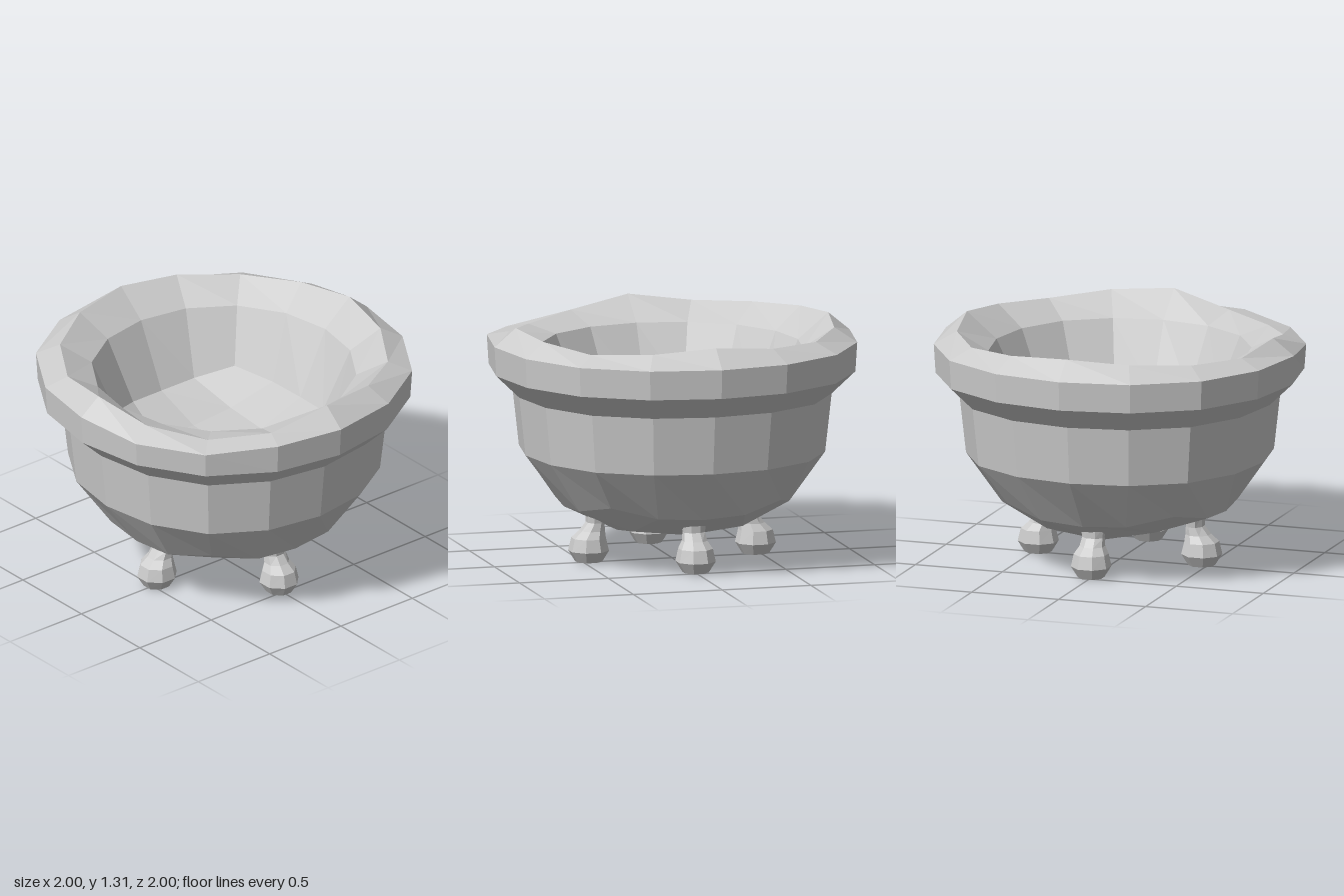
import * as THREE from 'three';

const material = new THREE.MeshStandardMaterial({ color: 0xcccccc, flatShading: true });
const SIDES = 16;

// Uneven heights of the rim crest, from the front round through the left side
const CREST = [1.30, 1.24, 1.21, 1.23, 1.31, 1.29, 1.26, 1.28, 1.31, 1.28, 1.27, 1.29, 1.31, 1.29, 1.27, 1.26];

// Heights round the square cap under the bowl: front, corner, left, corner, back ...
const UNDER_CAP = [0.23, 0.24, 0.17, 0.215, 0.18, 0.215, 0.175, 0.24];

// Bowl rings: radius, height, then widening and lift of the diagonal corners
const RINGS = [
  [0, 0.155, 1, 0], [0.31, 0.17, 1, 0], [0.61, 0.315, 1.11, 0.065], [0.825, 0.605, 1.03, 0],
  [0.86, 0.925, 1.03, 0], [0.99, 1.05, 1.025, 0], [1.0, 1.21, 1.025, 0], [0.88, 1.3, 1.015, 0],
  [0.71, 1.17, 1.015, 0], [0.535, 0.81, 1.1, 0.06], [0.26, 0.71, 1, 0], [0, 0.69, 1, 0],
];
const CAP = 1, LIP = 6, TOP = 7, FLOOR = 10;

function createBowl() {
  const geometry = new THREE.LatheGeometry(RINGS.map(([r, y]) => new THREE.Vector2(r, y)), SIDES);
  const pos = geometry.attributes.position;
  for (let s = 0; s <= SIDES; s++) {
    const k = s % SIDES;
    const diagonal = [0, 0.45, 1, 0.45][k % 4];
    RINGS.forEach(([r, y, widen, lift], j) => {
      const i = s * RINGS.length + j;
      const grow = 1 + (widen - 1) * diagonal;
      let height = y + lift * diagonal ** 2;
      if (j === TOP) height = CREST[k];
      // Lip sags beside the low part of the crest
      if (j === LIP && (k === 1 || k === 2)) height = 1.185;
      if (j === CAP || j === FLOOR) {
        // Caps are square grids: the three vertices nearest a corner meet there
        const corner = k % 4 !== 0;
        const x = Math.sin((k / SIDES) * Math.PI * 2), z = Math.cos((k / SIDES) * Math.PI * 2);
        const side = (v) => (Math.abs(v) < 0.1 ? 0 : Math.sign(v) * r);
        if (j === CAP) height = UNDER_CAP[corner ? 2 * Math.floor(k / 4) + 1 : k / 2];
        else if (corner) height += 0.02;
        pos.setXYZ(i, side(x), height, side(z));
      } else {
        pos.setXYZ(i, pos.getX(i) * grow, height, pos.getZ(i) * grow);
      }
    });
  }
  geometry.computeVertexNormals();
  const bowl = new THREE.Mesh(geometry, material);
  bowl.name = 'bowl';
  return bowl;
}

// Foot sections [height, outward offset, half width, half depth]
const FOOT = [
  [0, 0.47, 0, 0], [0.005, 0.47, 0.072, 0.075], [0.065, 0.47, 0.11, 0.112], [0.135, 0.47, 0.095, 0.095],
  [0.175, 0.45, 0.07, 0.07], [0.22, 0.433, 0.063, 0.05], [0.28, 0.435, 0.07, 0.05], [0.28, 0.435, 0, 0],
];

function createFootGeometry() {
  const n = 8;
  const positions = [], index = [];
  for (const [y, out, w, d] of FOOT) {
    for (let s = 0; s < n; s++) {
      const a = ((s + 0.5) / n) * Math.PI * 2;
      positions.push(Math.sin(a) * w, y, out + Math.cos(a) * d);
    }
  }
  for (let r = 0; r < FOOT.length - 1; r++) {
    for (let s = 0; s < n; s++) {
      const a = r * n + s, b = r * n + ((s + 1) % n);
      index.push(a, b, b + n, a, b + n, a + n);
    }
  }
  const geometry = new THREE.BufferGeometry();
  geometry.setAttribute('position', new THREE.Float32BufferAttribute(positions, 3));
  geometry.setIndex(index);
  geometry.computeVertexNormals();
  return geometry;
}

export function createModel() {
  const model = new THREE.Group();
  model.name = 'cauldron';
  model.add(createBowl());

  // Four feet, one on each side
  const footGeometry = createFootGeometry();
  ['frontFoot', 'leftFoot', 'backFoot', 'rightFoot'].forEach((name, i) => {
    const foot = new THREE.Mesh(footGeometry, material);
    foot.name = name;
    foot.rotation.y = (i * Math.PI) / 2;
    model.add(foot);
  });
  return model;
}
